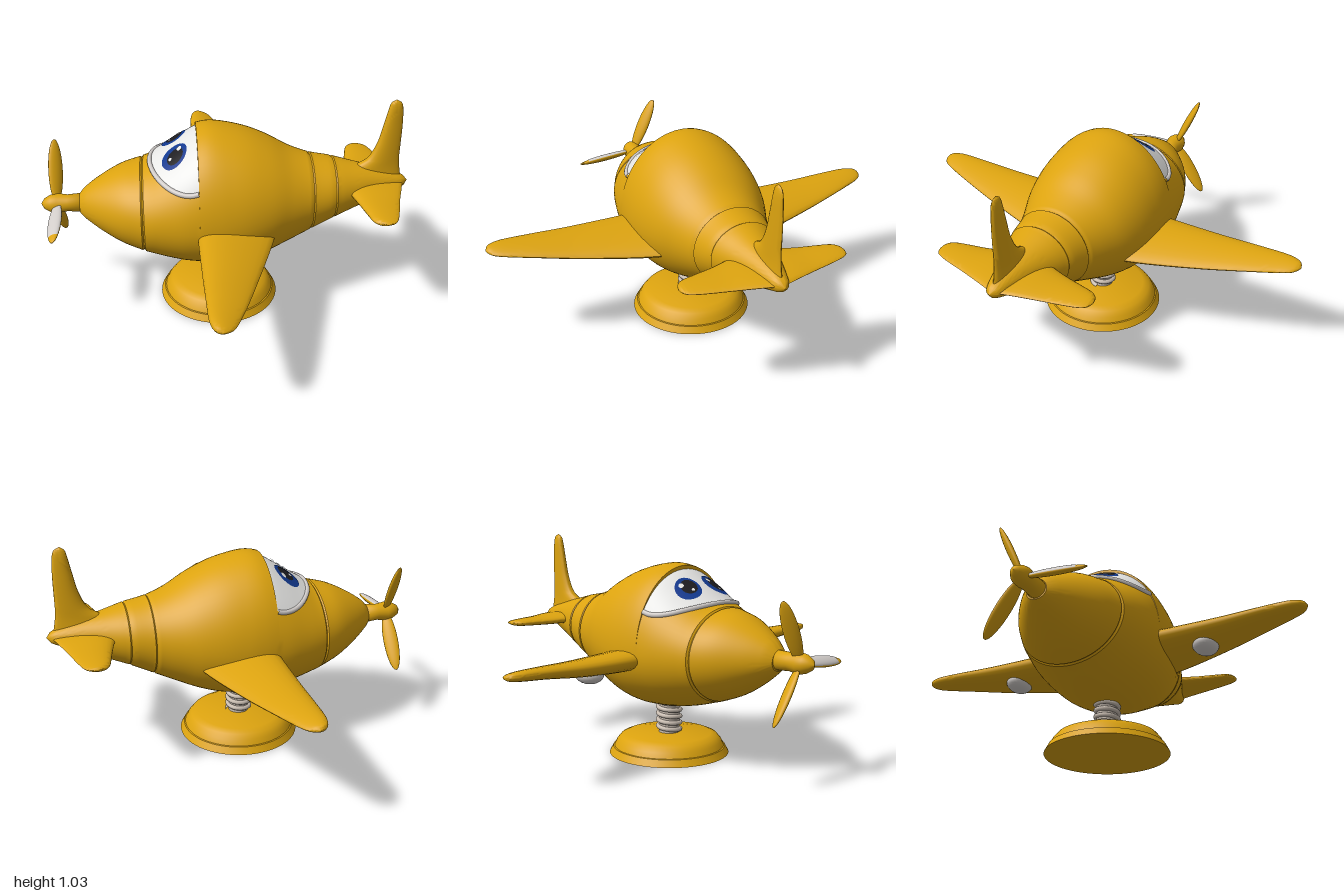
import * as THREE from 'three';
import { toCreasedNormals } from 'three/addons/utils/BufferGeometryUtils.js';

const paint = (name, color, extra = {}) => Object.assign(new THREE.MeshStandardMaterial({ color, ...extra }), { name });

// Smooth interpolation of table rows; the first column is the position
function sample(table, s) {
  let i = 0;
  while (i < table.length - 2 && s > table[i + 1][0]) i++;
  const a = table[i], b = table[i + 1], h = b[0] - a[0], t = (s - a[0]) / h;
  const slope = (j, k) => {
    const p = table[Math.max(j - 1, 0)], q = table[Math.min(j + 1, table.length - 1)];
    return (q[k] - p[k]) / (q[0] - p[0]);
  };
  return a.map((_, k) => {
    const t2 = t * t, t3 = t2 * t;
    return a[k] * (2 * t3 - 3 * t2 + 1) + b[k] * (3 * t2 - 2 * t3)
      + h * (slope(i, k) * (t3 - 2 * t2 + t) + slope(i + 1, k) * (t3 - t2));
  });
}

// Skin over rows of points, turned to face outward
function skin(rows, crease = 0.6) {
  const n = rows[0].length, pos = rows.flat(2), index = [];
  for (let r = 0; r < rows.length - 1; r++) {
    for (let c = 0; c < n - 1; c++) {
      const a = r * n + c, b = a + 1, d = a + n, e = d + 1;
      index.push(a, b, e, a, e, d);
    }
  }
  const centre = new THREE.Vector3(-0.1, 0.5, 0);
  const p = (i) => new THREE.Vector3().fromArray(pos, i * 3).sub(centre);
  let volume = 0;
  for (let i = 0; i < index.length; i += 3) volume += p(index[i]).dot(p(index[i + 1]).cross(p(index[i + 2])));
  if (volume < 0) index.reverse();
  const g = new THREE.BufferGeometry();
  g.setAttribute('position', new THREE.Float32BufferAttribute(pos, 3));
  g.setIndex(index);
  return toCreasedNormals(g, crease);
}

// Fuselage stations: x, top, bottom, half width
const BODY = [
  [-0.70, 0.585, 0.49, 0.05], [-0.68, 0.61, 0.47, 0.075], [-0.6, 0.665, 0.41, 0.145],
  [-0.5, 0.715, 0.35, 0.215], [-0.4, 0.742, 0.31, 0.262], [-0.36, 0.757, 0.298, 0.277],
  [-0.29, 0.80, 0.277, 0.297], [-0.21, 0.853, 0.258, 0.315], [-0.14, 0.895, 0.248, 0.323],
  [-0.08, 0.914, 0.243, 0.327], [0, 0.91, 0.24, 0.325], [0.1, 0.886, 0.253, 0.31],
  [0.2, 0.843, 0.285, 0.28], [0.3, 0.787, 0.33, 0.235], [0.4, 0.75, 0.378, 0.193],
  [0.51, 0.728, 0.433, 0.162], [0.6, 0.705, 0.47, 0.125], [0.7, 0.68, 0.51, 0.085],
  [0.8, 0.65, 0.55, 0.052], [0.86, 0.625, 0.575, 0.028], [0.88, 0.6, 0.6, 0],
];
const GROOVES = [-0.4, 0.4, 0.51];

function station(x) {
  const [, top, bottom, w] = sample(BODY, x);
  const c = Math.min((top + bottom) / 2, 0.53 + 0.12 * Math.max(0, x));
  const lip = x >= -0.14 ? 0.022 * Math.exp(-(x + 0.14) / 0.12) : 0;
  return { c, up: top + lip - c, down: c - bottom, w };
}
const roofY = (x, z) => {
  const s = station(x);
  return s.c + s.up * Math.sqrt(Math.max(0, 1 - (z / s.w) ** 2));
};

function bodyGeometry() {
  const xs = [-0.1402];
  for (let i = 0; i <= 79; i++) xs.push(-0.7 + i * 0.02);
  GROOVES.forEach((g) => xs.push(g - 0.007, g + 0.001, g + 0.007));
  xs.sort((a, b) => a - b);
  const rows = xs.map((x) => {
    const s = station(x), k = GROOVES.some((g) => Math.abs(x - g) < 0.004) ? 0.97 : 1;
    return Array.from({ length: 65 }, (_, j) => {
      const a = (j / 64) * Math.PI * 2, sy = Math.sin(a);
      return [x, s.c + k * sy * (sy > 0 ? s.up : s.down), k * s.w * Math.cos(a)];
    });
  });
  rows.unshift(rows[0].map(() => [-0.7, 0.5375, 0]));
  return skin(rows);
}

// Wing-like loft from rows of: span, leading x, trailing x, height, thickness
function foil(table, place, tilt = 0) {
  const s0 = table[0][0], s1 = table[table.length - 1][0];
  const rows = Array.from({ length: 41 }, (_, i) => {
    const t = i / 40, [s, lead, trail, y, th] = sample(table, s0 + (s1 - s0) * (1 - (1 - t) ** 2));
    return Array.from({ length: 25 }, (_, j) => {
      const a = (j / 24) * Math.PI * 2, c = Math.cos(a), half = (trail - lead) / 2;
      const h = y + (Math.max(0, th) / 2) * Math.sin(a) * (1 - 0.3 * c) - tilt * half * c;
      return place((lead + trail) / 2 + half * c, h, s);
    });
  });
  return skin(rows, 1);
}
const WING = [
  [0.2, -0.15, 0.225, 0.485, 0.10], [0.35, -0.15, 0.18, 0.483, 0.095], [0.6, -0.145, 0.10, 0.492, 0.075],
  [0.8, -0.14, 0.035, 0.507, 0.055], [0.92, -0.135, -0.01, 0.514, 0.045], [0.97, -0.122, -0.035, 0.516, 0.035],
  [0.99, -0.105, -0.058, 0.517, 0.022], [1, -0.08, -0.08, 0.517, 0],
];
const TAIL = [
  [0, 0.53, 0.86, 0.6, 0.055], [0.1, 0.575, 0.83, 0.6, 0.05], [0.2, 0.605, 0.80, 0.597, 0.042],
  [0.3, 0.628, 0.775, 0.597, 0.035], [0.36, 0.645, 0.755, 0.597, 0.028], [0.385, 0.67, 0.735, 0.597, 0.018],
  [0.395, 0.705, 0.705, 0.597, 0],
];
const FIN = [
  [0.6, 0.55, 0.85, 0, 0.08], [0.68, 0.60, 0.835, 0, 0.06], [0.72, 0.67, 0.83, 0, 0.05],
  [0.8, 0.715, 0.83, 0, 0.042], [0.9, 0.74, 0.83, 0, 0.036], [0.98, 0.757, 0.825, 0, 0.03],
  [1.015, 0.768, 0.815, 0, 0.018], [1.03, 0.79, 0.79, 0, 0],
];

// Thin oval lying on the windshield
function decal(cx, cz, rx, rz, lift) {
  return skin(Array.from({ length: 6 }, (_, i) => Array.from({ length: 33 }, (_, j) => {
    const a = (j / 32) * Math.PI * 2, x = cx + rx * (i / 5) * Math.cos(a), z = cz + rz * (i / 5) * Math.sin(a);
    return [x, roofY(x, z) + lift, z];
  })));
}

const lathe = (pts, n = 48) => new THREE.LatheGeometry(pts.map(([r, y]) => new THREE.Vector2(r, y)), n);

export function createModel() {
  const model = new THREE.Group();
  model.name = 'toyPlane';
  const yellow = paint('yellow', 0xdca30f), white = paint('white', 0xf0f0ee, { side: THREE.DoubleSide });
  const grey = paint('lightGrey', 0xd3cecb), metal = paint('springMetal', 0xcbbfb3);
  const blue = paint('blue', 0x12398f), black = paint('black', 0x1d1c20);
  const add = (name, geometry, material, parent = model) => {
    const m = new THREE.Mesh(geometry, material);
    m.name = name;
    parent.add(m);
    return m;
  };

  add('fuselage', bodyGeometry(), yellow);

  // Windshield and its front frame
  const arc = (v) => {
    const a = v * Math.PI / 2;
    return [-0.1405 - 0.22 * Math.cos(a), 0.275 * Math.sin(a)];
  };
  add('windshield', skin(Array.from({ length: 41 }, (_, i) => {
    const [xf, z] = arc(i / 20 - 1);
    return Array.from({ length: 17 }, (_, j) => {
      const x = xf + (-0.1405 - xf) * (j / 16);
      return [x, roofY(x, z) + 0.005, z];
    });
  })), white);
  const framePath = new THREE.CatmullRomCurve3(Array.from({ length: 25 }, (_, i) => {
    const [x, z] = arc(i / 12 - 1);
    return new THREE.Vector3(x, roofY(x, z) + 0.002, z);
  }));
  add('windshieldFrame', new THREE.TubeGeometry(framePath, 60, 0.012, 8), grey);

  for (const side of [1, -1]) {
    const tag = side > 0 ? 'Front' : 'Rear';
    // Eyes
    const z = side * 0.09;
    add('iris' + tag, decal(-0.245, z, 0.058, 0.068, 0.008), blue);
    add('pupil' + tag, decal(-0.242, z + 0.008, 0.037, 0.043, 0.010), black);
    add('eyeGlint' + tag, decal(-0.222, z - 0.024, 0.011, 0.014, 0.012), white);
    add('eyeSmallGlint' + tag, decal(-0.265, z + 0.012, 0.007, 0.009, 0.012), white);
    // Wings, pods and tailplane
    add('wing' + tag, foil(WING, (x, y, s) => [x, y, side * s], 0.12), yellow);
    add('tailplane' + tag, foil(TAIL, (x, y, s) => [x, y, side * s]), yellow);
    const pod = add('wingPod' + tag, new THREE.SphereGeometry(1, 24, 16), grey);
    pod.scale.set(0.075, 0.045, 0.06);
    pod.position.set(-0.025, 0.455, side * 0.5);
  }
  add('tailFin', foil(FIN, (x, z, s) => [x, s, z]), yellow);

  // Propeller
  const prop = new THREE.Group();
  prop.name = 'propeller';
  prop.position.set(-0.81, 0.54, 0);
  model.add(prop);
  add('spinner', lathe([[0, -0.13], [0.046, -0.12], [0.04, -0.05], [0.048, 0], [0.042, 0.03], [0.025, 0.06], [0, 0.075]], 32)
    .rotateZ(Math.PI / 2), yellow, prop);
  const blade = (...arcs) => new THREE.SphereGeometry(1, 24, 20, ...arcs)
    .scale(0.036, 0.15, 0.016).rotateY(0.5).translate(0, 0.155, 0);
  [95, -25, 215].forEach((deg, i) => {
    const holder = new THREE.Group();
    holder.name = 'blade' + (i + 1);
    holder.rotation.x = THREE.MathUtils.degToRad(deg);
    prop.add(holder);
    add('bladeSurface', blade(), yellow, holder);
    if (i === 0) {
      add('bladePanel', blade(Math.PI, Math.PI, 0.25 * Math.PI, 0.55 * Math.PI).translate(0, 0, -0.002), grey, holder);
    }
  });

  // Spring post and round base
  const stand = new THREE.Group();
  stand.name = 'stand';
  stand.position.x = -0.037;
  model.add(stand);
  add('post', new THREE.CylinderGeometry(0.05, 0.05, 0.2, 32).translate(0, 0.18, 0), metal, stand);
  const coil = new THREE.CatmullRomCurve3(Array.from({ length: 81 }, (_, i) => {
    const a = (i / 16) * Math.PI * 2;
    return new THREE.Vector3(0.054 * Math.cos(a), 0.1 + 0.16 * (i / 80), 0.054 * Math.sin(a));
  }));
  add('spring', new THREE.TubeGeometry(coil, 160, 0.011, 8), metal, stand);
  add('base', toCreasedNormals(lathe([[0, 0], [0.291, 0], [0.273, 0.033], [0.267, 0.035], [0.255, 0.06],
    [0.236, 0.083], [0.205, 0.096], [0, 0.1]], 64), 0.6), yellow, stand);
  return model;
}
